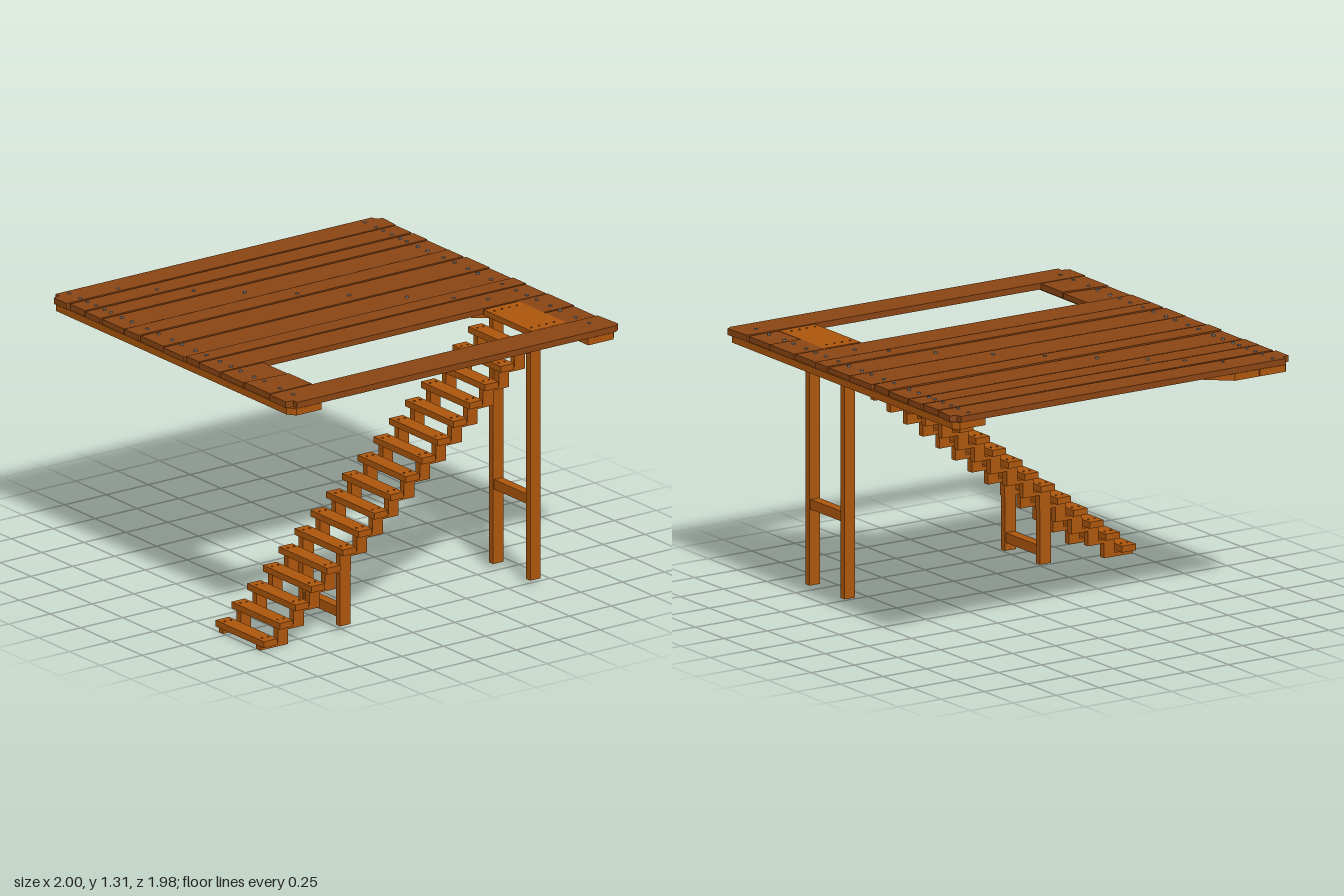
import * as THREE from 'three';

const deckWood = new THREE.MeshStandardMaterial({ color: 0x8b4513 });
const frameWood = new THREE.MeshStandardMaterial({ color: 0xad560d });
const steel = new THREE.MeshStandardMaterial({ color: 0x888888 });

// Box given by its min and max corners
function box(parent, name, x0, x1, y0, y1, z0, z1, mat = frameWood) {
  const m = new THREE.Mesh(new THREE.BoxGeometry(x1 - x0, y1 - y0, z1 - z0), mat);
  m.position.set((x0 + x1) / 2, (y0 + y1) / 2, (z0 + z1) / 2);
  m.name = name;
  parent.add(m);
}

// Flat board with an [x, z] outline
function board(parent, name, outline, y0, y1, mat) {
  const shape = new THREE.Shape(outline.map(([x, z]) => new THREE.Vector2(x, -z)));
  const geo = new THREE.ExtrudeGeometry(shape, { depth: y1 - y0, bevelEnabled: false });
  geo.rotateX(-Math.PI / 2);
  const m = new THREE.Mesh(geo, mat);
  m.position.y = y0;
  m.name = name;
  parent.add(m);
}

function nail(parent, x, y, z, r, mat) {
  const m = new THREE.Mesh(new THREE.CylinderGeometry(r, r, 0.008, 8), mat);
  m.position.set(x, y, z);
  m.name = 'nail';
  parent.add(m);
}

function group(parent, name) {
  const g = new THREE.Group();
  g.name = name;
  parent.add(g);
  return g;
}

export function createModel() {
  const model = new THREE.Group();
  model.name = 'raisedDeckWithStairs';

  // Deck planks, slightly irregular: [zBackLeft, zBackRight, zFrontLeft, zFrontRight, xLeft, xRight]
  const deck = group(model, 'deck');
  const top = 1.308, under = 1.277;
  const planks = [
    [-0.825, -0.83, -0.705, -0.7, -0.96, 0.985],
    [-0.695, -0.69, -0.575, -0.58, -0.965, 0.99],
    [-0.565, -0.57, -0.385, -0.405, -0.96, 0.985],
    [-0.375, -0.395, -0.26, -0.27, -0.965, 0.98],
    [-0.25, -0.26, -0.065, -0.07, -0.96, 0.99],
    [-0.055, -0.062, 0.115, 0.117, -0.97, 0.985],
    [0.123, 0.123, 0.225, 0.225, -0.96, 0.99],
    [0.233, 0.232, 0.4, 0.4, -0.965, 0.985],
    // short planks beside the stair opening
    [0.406, 0.406, 0.585, 0.61, -0.96, -0.71],
    [0.595, 0.618, 0.804, 0.804, -0.96, -0.71],
    [0.406, 0.406, 0.615, 0.617, 0.81, 0.99],
    [0.622, 0.624, 0.804, 0.804, 0.81, 0.985],
  ];
  planks.forEach(([a, b, c, d, l, r], i) =>
    board(deck, 'plank', [[l, c], [r, d], [r, b], [l, a]], under, top - (i % 3) * 0.002, deckWood));
  // End planks with notched corners
  board(deck, 'backPlank', [[-0.97, -0.84], [0.99, -0.838], [1, -0.95], [0.965, -0.965], [0.96, -0.99],
    [-0.93, -0.985], [-0.93, -0.955], [-0.97, -0.945]], under, top, deckWood);
  board(deck, 'frontPlank', [[-0.97, 0.811], [-0.97, 0.945], [-0.93, 0.955], [-0.93, 0.985], [0.97, 0.985],
    [1, 0.965], [0.99, 0.811]], under, top, deckWood);

  // Beams under the deck and the diagonal brace
  const beams = group(model, 'beams');
  const b0 = 1.24, b1 = 1.274;
  board(beams, 'rightBeam', [[-0.96, 0.94], [-0.93, 0.98], [-0.78, 0.98], [-0.78, -0.98], [-0.93, -0.98], [-0.96, -0.94]], b0, b1, frameWood);
  board(beams, 'leftBeam', [[0.81, 0.98], [0.96, 0.98], [0.985, 0.95], [0.985, -0.95], [0.96, -0.98], [0.81, -0.98]], b0, b1, frameWood);
  board(beams, 'diagonalBrace', [[-0.775, -0.875], [0.805, 0.505], [0.805, 0.28], [-0.635, -0.98], [-0.775, -0.98]], b0, b1, frameWood);

  // Deck nails along both beams and the diagonal
  const nails = group(model, 'deckNails');
  for (const z of [-0.95, -0.86, -0.8, -0.73, -0.66, -0.61, -0.52, -0.44, -0.31, -0.22, -0.11, -0.03, 0.08,
    0.17, 0.28, 0.37, 0.45, 0.56, 0.64, 0.77, 0.88])
    for (const x of [-0.875, 0.89]) nail(nails, x, top, z, 0.009, steel);
  for (const x of [-0.64, -0.5, -0.365, -0.18, 0.01, 0.2, 0.41, 0.58, 0.705])
    nail(nails, x, top, -0.87 + 0.874 * (x + 0.64), 0.009, steel);

  // Stairs: stepped stringers built from flat strips and risers, with treads on top
  const stairs = group(model, 'stairs');
  const run = 0.0942, rise = 0.0742, steps = 17, half = 0.0175;
  const sides = [0.46, 0.762];
  for (let i = 0; i < steps; i++) {
    const x = -1 + run * i, y = rise * i;
    box(stairs, 'tread', x, x + 0.08, y + 0.021, y + 0.053, 0.415, 0.81);
    for (const z of sides) {
      const start = i === 0 ? x : x + 0.011;
      box(stairs, 'stringerStrip', start, x + 0.166, y, y + 0.02, z - half, z + half);
      if (i < steps - 1)
        box(stairs, 'stringerRiser', x + 0.105, x + 0.166, y + 0.02, y + rise + 0.001, z - half, z + half);
      for (const dx of [0.022, 0.058]) nail(stairs, x + dx, y + 0.053, z, 0.005, frameWood);
    }
  }

  // Landing at deck level
  box(stairs, 'landing', 0.6, 0.812, 1.277, 1.306, 0.412, 0.804);
  for (const z of sides)
    for (let x = 0.63; x < 0.8; x += 0.045) nail(stairs, x, 1.306, z, 0.005, frameWood);

  // Post pairs with a cross brace: [xMin, xMax, top, brace bottom, brace top]
  const posts = group(model, 'posts');
  for (const [x0, x1, y1, c0, c1] of [[0.611, 0.672, 1.277, 0.405, 0.455], [-0.524, -0.461, 0.391, 0.065, 0.115]]) {
    for (const z of sides) box(posts, 'post', x0, x1, 0.025, y1, z - half, z + half);
    box(posts, 'crossBrace', x0 + 0.006, x1 - 0.006, c0, c1, sides[0], sides[1]);
  }
  return model;
}
